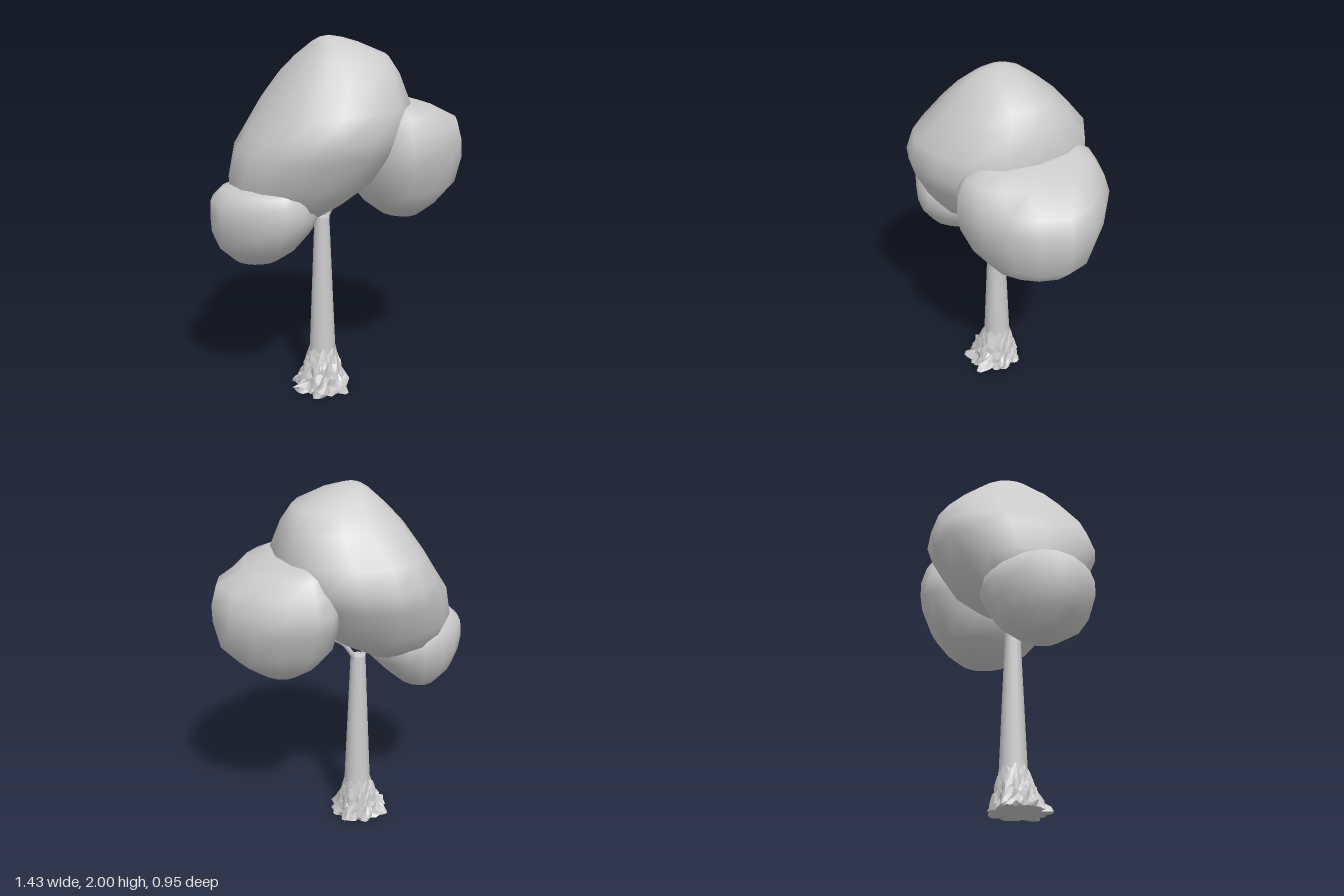
import * as THREE from 'three';
import { mergeVertices } from 'three/addons/utils/BufferGeometryUtils.js';

// Skin of stacked closed rings, bottom to top; point(row, angle, rowIndex) gives [x, y, z]
function loft(rows, sides, point) {
  const pos = [], index = [];
  rows.forEach((row, j) => {
    for (let i = 0; i < sides; i++) {
      pos.push(...point(row, (i / sides) * Math.PI * 2, j));
      if (j === rows.length - 1) continue;
      const a = j * sides + i, b = j * sides + ((i + 1) % sides);
      index.push(a, a + sides, b, b, a + sides, b + sides);
    }
  });
  const geo = new THREE.BufferGeometry();
  geo.setAttribute('position', new THREE.Float32BufferAttribute(pos, 3));
  geo.setIndex(index);
  const merged = mergeVertices(geo, 1e-4);
  merged.computeVertexNormals();
  return merged;
}

// Foliage rows: [y, left x, widest x, right x, back z, middle z, front z, diagonal pinch].
// The pinch acts on the side of x given by outer (0 for both sides).
function crownGeometry(rows, phase, outer) {
  return loft(rows, 16, ([y, xl, xc, xr, zb, zc, zf, pinch], a, j) => {
    const c = Math.cos(a), s = Math.sin(a), diagonal = Math.sin(2 * a);
    const squeeze = c * outer >= 0 ? pinch * diagonal ** 2 : 0;
    const lump = 1 - squeeze + 0.02 * diagonal * Math.sin(3 * a + j * 1.3 + phase);
    return [
      xc + c * lump * (c > 0 ? xr - xc : xc - xl),
      y,
      zc + s * lump * (s > 0 ? zf - zc : zc - zb),
    ];
  });
}

const MAIN = [
  [0.99, -0.26, -0.26, -0.26, 0.02, 0.02, 0.02, 0],
  [1.04, -0.42, -0.28, -0.13, -0.15, 0.01, 0.18, 0],
  [1.13, -0.56, -0.24, 0.035, -0.28, 0.01, 0.29, 0.01],
  [1.25, -0.61, -0.2, 0.215, -0.38, 0.02, 0.37, 0.02],
  [1.42, -0.57, -0.15, 0.31, -0.46, 0.02, 0.455, 0],
  [1.52, -0.5, -0.13, 0.34, -0.475, 0.01, 0.48, -0.02],
  [1.65, -0.41, -0.11, 0.365, -0.43, 0, 0.46, -0.04],
  [1.8, -0.3, -0.05, 0.315, -0.3, 0, 0.32, -0.08],
  [1.89, -0.22, -0.05, 0.26, -0.2, 0, 0.24, -0.08],
  [1.96, -0.15, -0.06, 0.1, -0.11, 0.02, 0.15, -0.02],
  [1.985, -0.11, -0.07, 0.02, -0.05, 0.02, 0.08, 0],
  [2.0, -0.06, -0.06, -0.06, 0.02, 0.02, 0.02, 0],
];
const LEFTWARD = [ // lump beyond the model's +x side
  [0.98, 0.41, 0.41, 0.41, -0.01, -0.01, -0.01, 0],
  [1.01, 0.24, 0.36, 0.48, -0.15, 0, 0.15, 0.05],
  [1.08, 0.15, 0.32, 0.58, -0.25, 0, 0.255, 0.06],
  [1.18, 0.07, 0.29, 0.675, -0.33, 0, 0.335, 0.07],
  [1.33, 0.05, 0.28, 0.71, -0.395, 0, 0.4, 0.09],
  [1.42, 0.05, 0.27, 0.712, -0.41, 0, 0.41, 0.09],
  [1.52, 0.07, 0.27, 0.685, -0.38, 0, 0.4, 0.08],
  [1.6, 0.12, 0.27, 0.53, -0.33, 0, 0.36, 0.04],
  [1.64, 0.16, 0.27, 0.39, -0.26, 0, 0.28, 0],
  [1.66, 0.27, 0.27, 0.27, 0, 0, 0, 0],
];
const RIGHTWARD = [ // lower lump on the -x side
  [0.79, -0.48, -0.48, -0.48, 0.03, 0.03, 0.03, 0],
  [0.82, -0.59, -0.46, -0.36, -0.1, 0.04, 0.14, 0.04],
  [0.9, -0.675, -0.42, -0.27, -0.19, 0.04, 0.26, 0.06],
  [1.0, -0.715, -0.4, -0.175, -0.235, 0.04, 0.33, 0.08],
  [1.09, -0.72, -0.39, -0.135, -0.265, 0.04, 0.36, 0.08],
  [1.17, -0.715, -0.39, -0.16, -0.25, 0.04, 0.355, 0.08],
  [1.225, -0.66, -0.39, -0.2, -0.2, 0.04, 0.33, 0.05],
  [1.255, -0.58, -0.4, -0.26, -0.1, 0.04, 0.27, 0],
  [1.265, -0.43, -0.43, -0.43, 0.04, 0.04, 0.04, 0],
];

// Roots: gnarled flare, [y, reach from trunk radius (0) to full spread (1)]
const ROOTS = [[0, 0], [0, 1], [0.02, 0.95], [0.045, 0.72], [0.075, 0.6], [0.1, 0.44], [0.13, 0.4], [0.165, 0.25], [0.2, 0.12], [0.235, 0]];
const rootsGeometry = () => loft(ROOTS, 44, ([y, reach], a, j) => {
  if (j === 0) return [0, 0, 0];
  const c = Math.cos(a), s = Math.sin(a);
  const spread = Math.hypot(c * (c > 0 ? 0.15 : 0.2), s * (s > 0 ? 0.21 : 0.14));
  const ridge = 0.72 + 0.2 * Math.sin(7 * a + 0.5 * Math.sin(j)) + 0.15 * Math.sin(12 * a + 2 * Math.sin(j * 2)) + 0.06 * Math.sin(19 * a + 2 * Math.cos(j * 3));
  const r = 0.072 + (spread - 0.072) * reach * (0.2 + 0.8 * ridge);
  const lift = j > 1 ? 0.014 * Math.sin(8 * a + 2 * Math.sin(j * 2.1)) : 0;
  return [c * r, Math.max(0, y + lift), s * r];
});

export function createModel() {
  const tree = new THREE.Group();
  tree.name = 'tree';
  const smooth = new THREE.MeshStandardMaterial({ color: 0xcccccc });
  const faceted = new THREE.MeshStandardMaterial({ color: 0xcccccc, flatShading: true });
  const add = (name, geo, material = smooth) => {
    const mesh = new THREE.Mesh(geo, material);
    mesh.name = name;
    tree.add(mesh);
    return mesh;
  };

  // Foliage
  add('mainCrown', crownGeometry(MAIN, 0, 0));
  add('leftCrown', crownGeometry(LEFTWARD, 2, 1));
  add('rightCrown', crownGeometry(RIGHTWARD, 4, -1));

  // Trunk and roots
  add('trunk', new THREE.CylinderGeometry(0.042, 0.077, 0.83, 12)).position.set(-0.1, 0.6, 0.015);
  add('roots', rootsGeometry(), faceted).position.set(-0.1, 0, 0.015);

  // Thin forked branches reaching into the lumps
  const branches = {
    leftBranch: [[-0.085, 0.98, 0.01], [-0.05, 1.045, 0], [0.0, 1.11, 0], [0.09, 1.155, 0], [0.25, 1.2, 0]],
    rightBranch: [[-0.115, 0.98, 0.015], [-0.15, 1.035, 0.03], [-0.22, 1.08, 0.05], [-0.4, 1.1, 0.05]],
  };
  for (const [name, points] of Object.entries(branches)) {
    const path = new THREE.CatmullRomCurve3(points.map((p) => new THREE.Vector3(...p)));
    add(name, new THREE.TubeGeometry(path, 12, 0.015, 6));
  }
  return tree;
}
